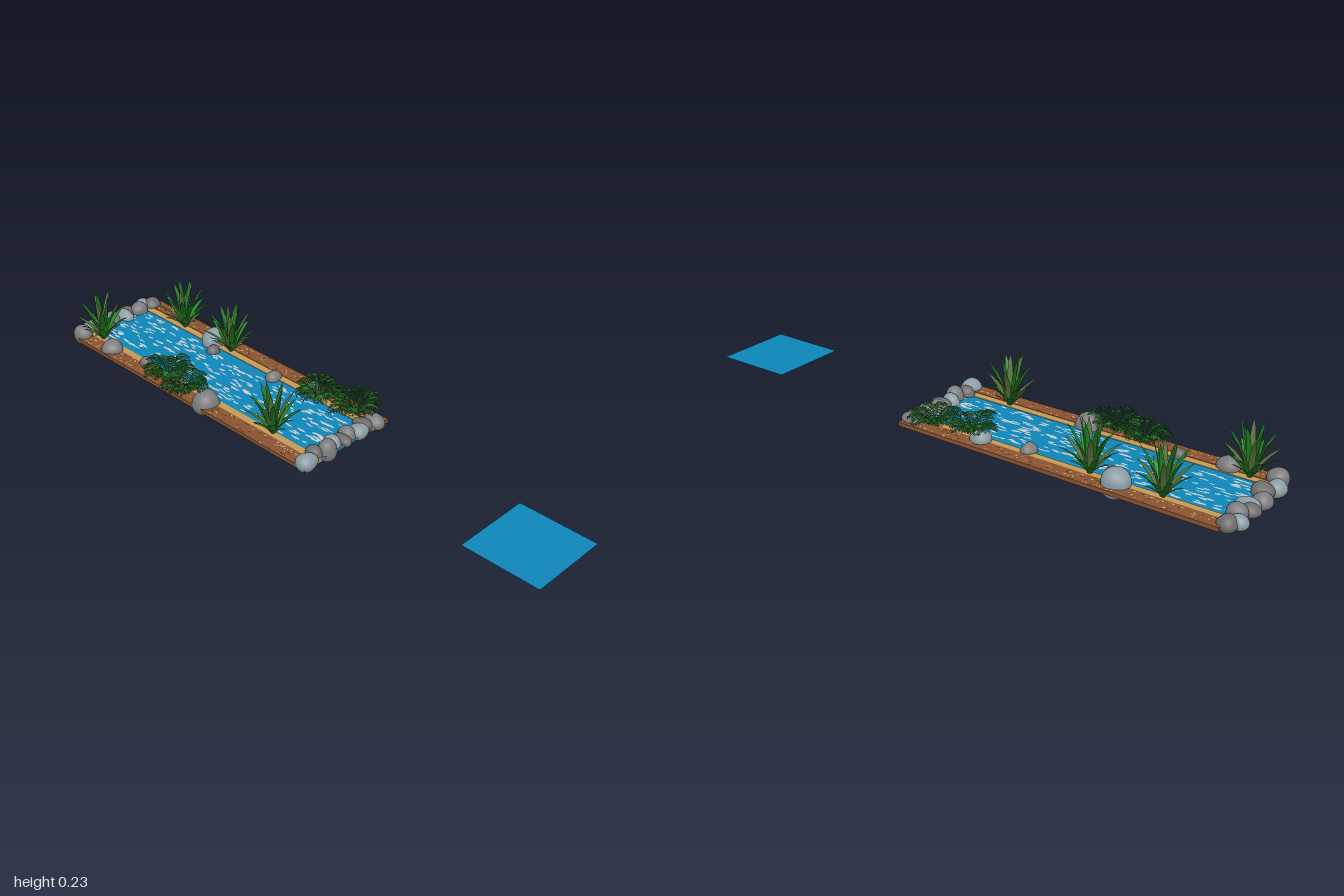
import * as THREE from 'three';
import { mergeVertices } from 'three/addons/utils/BufferGeometryUtils.js';

const V = (x, y, z) => new THREE.Vector3(x, y, z);
const UP = V(0, 1, 0);

// small seeded random
let seed = 7;
const rand = (a = 0, b = 1) => {
  seed = (seed * 16807) % 2147483647;
  return a + (b - a) * (seed / 2147483647);
};

const mat = (color, side = THREE.FrontSide) => new THREE.MeshStandardMaterial({ color, side });
const rockMats = [0x7d7d7d, 0x8c9ea5, 0x6f6d6d].map(c => mat(c));
const leafMats = [0x1f8a1f, 0x1b6b1b, 0x55703a].map(c => mat(c, THREE.DoubleSide));
const fernMats = [0x1c5a1e, 0x2c7a28].map(c => mat(c, THREE.DoubleSide));
const blue = mat(0x0d86b8, THREE.DoubleSide);
const foam = mat(0xc9cdca, THREE.DoubleSide);

function add(parent, name, geometry, material, x = 0, y = 0, z = 0) {
  const m = new THREE.Mesh(geometry, material);
  m.name = name;
  m.position.set(x, y, z);
  parent.add(m);
}

// collects tapered strips (leaves, flecks) into one geometry
class Strips {
  constructor() { this.pos = []; this.idx = []; }
  // pts: centre line, width(t): half width, side: sideways direction, fold: raises the edges
  add(pts, width, side, fold = 0) {
    const base = this.pos.length / 3;
    pts.forEach((p, i) => {
      const half = width(i / (pts.length - 1));
      for (const s of [-1, 0, 1]) {
        const w = half * s;
        this.pos.push(p.x + side.x * w, p.y + side.y * w + Math.abs(w) * fold, p.z + side.z * w);
      }
      if (i === 0) return;
      for (const s of [0, 1]) {
        const a = base + (i - 1) * 3 + s, b = a + 3;
        this.idx.push(a, a + 1, b, a + 1, b + 1, b);
      }
    });
  }
  geometry() {
    const g = new THREE.BufferGeometry();
    g.setAttribute('position', new THREE.Float32BufferAttribute(this.pos, 3));
    g.setIndex(this.idx);
    g.computeVertexNormals();
    return g;
  }
}

// lumpy rounded stone
function rock(parent, x, y, z, rx, ry, rz, tone) {
  let g = new THREE.IcosahedronGeometry(1, 4);
  g.deleteAttribute('normal');
  g.deleteAttribute('uv');
  g = mergeVertices(g, 1e-4);
  const p = g.attributes.position, k = rand(0, 6), v = V();
  for (let i = 0; i < p.count; i++) {
    v.fromBufferAttribute(p, i);
    const bump = 0.96 + 0.07 * Math.sin(2.6 * v.x + k) + 0.06 * Math.sin(3.1 * v.y + 2 * k) + 0.06 * Math.cos(2.8 * v.z + 3 * k);
    v.multiplyScalar(bump);
    p.setXYZ(i, v.x * rx, v.y * ry, v.z * rz);
  }
  g.computeVertexNormals();
  add(parent, 'rock', g, rockMats[tone % 3], x, y, z);
}

// rosette of long blades
function spikyPlant(parent, x, z) {
  const group = new THREE.Group();
  group.name = 'spikyPlant';
  group.position.set(x, 0.055, z);
  const sets = leafMats.map(() => new Strips());
  const bladeWidth = t => 0.0005 + 0.009 * Math.sin(Math.PI * (0.12 + 0.88 * t)) ** 0.7;
  const rings = [[5, 0.03, 0.175], [7, 0.068, 0.148], [8, 0.085, 0.09], [6, 0.06, 0.05]];
  let n = 0;
  rings.forEach(([count, reach, height], r) => {
    for (let i = 0; i < count; i++) {
      const a = (i + 0.5 * (r % 2) + rand(-0.15, 0.15)) / count * Math.PI * 2;
      const dir = V(Math.cos(a), 0, Math.sin(a)), side = V(-dir.z, 0, dir.x);
      const h = height * rand(0.92, 1.02), pts = [];
      for (let j = 0; j <= 6; j++) {
        const t = j / 6;
        pts.push(dir.clone().multiplyScalar(0.006 + reach * (0.55 * t + 0.45 * t * t))
          .addScaledVector(UP, h * (1.18 * t - 0.18 * t * t)));
      }
      sets[n++ % 3].add(pts, bladeWidth, side, 0.35);
    }
  });
  sets.forEach((s, i) => add(group, 'blades', s.geometry(), leafMats[i]));
  parent.add(group);
}

// clump of feathery arching fronds
function fern(parent, x, z, radius) {
  const sets = fernMats.map(() => new Strips());
  const fronds = 15;
  for (let f = 0; f < fronds; f++) {
    const a = (f + rand(-0.3, 0.3)) / fronds * Math.PI * 2;
    const dir = V(Math.cos(a), 0, Math.sin(a)), side = V(-dir.z, 0, dir.x);
    const reach = radius * rand(0.75, 1.08), rise = rand(0.035, 0.06), set = sets[f % 3 ? 0 : 1];
    const at = t => dir.clone().multiplyScalar(reach * t).addScaledVector(UP, rise * (3 * t - 2.4 * t * t));
    set.add([0, 0.25, 0.5, 0.75, 1].map(at), t => 0.001 - 0.0007 * t, side);
    for (let j = 2; j < 17; j++) {
      const t = j / 17, leaf = 0.034 * Math.sin(Math.PI * (0.2 + 0.75 * t));
      for (const s of [-1, 1]) {
        const out = side.clone().multiplyScalar(s).addScaledVector(dir, 0.75).normalize();
        const p = at(t), across = V(-out.z, 0, out.x);
        const mid = p.clone().addScaledVector(out, leaf * 0.5).addScaledVector(UP, 0.002);
        const tip = p.clone().addScaledVector(out, leaf).addScaledVector(UP, -0.004);
        set.add([p, mid, tip], u => 0.0003 + 0.0021 * Math.sin(Math.PI * u), across);
      }
    }
  }
  sets.forEach((s, i) => add(parent, 'fern', s.geometry(), fernMats[i], x, 0.058, z));
}

// flat irregular flecks scattered over a strip
function flecks(parent, name, material, count, cx, half, z0, z1, y, width, length) {
  const s = new Strips();
  for (let i = 0; i < count; i++) {
    const x = cx + rand(-half, half), z = rand(z0, z1 - length);
    const w = width * rand(0.5, 1), l = length * rand(0.4, 1);
    const pts = [0, 0.3, 0.7, 1].map(t => V(x + rand(-w, w) * 0.5, y, z + l * t));
    s.add(pts, t => w * (0.2 + 0.7 * Math.sin(Math.PI * t)), V(-1, 0, 0));
  }
  add(parent, name, s.geometry(), material);
}

export function createModel() {
  seed = 7;
  const model = new THREE.Group();
  model.name = 'gardenStream';
  const cx = 0.01, z0 = -0.94, z1 = 0.17, len = z1 - z0, cz = (z0 + z1) / 2;

  // soil and sand banks, mirrored about the channel
  const soil = mat(0x8a5431), sand = mat(0xc79a55);
  const speck = mat(0xd9b877, THREE.DoubleSide), pebble = mat(0x5f3820, THREE.DoubleSide);
  for (const s of [-1, 1]) {
    const bank = cx + s * 0.164;
    add(model, 'soilBank', new THREE.BoxGeometry(0.052, 0.013, len), soil, bank, 0.047, cz);
    add(model, 'sandStrip', new THREE.BoxGeometry(0.026, 0.009, len), sand, cx + s * 0.125, 0.0475, cz);
    flecks(model, 'sandSpecks', speck, 90, bank, 0.022, z0, z1, 0.0542, 0.0035, 0.009);
    flecks(model, 'soilSpecks', pebble, 70, bank, 0.022, z0, z1, 0.0539, 0.005, 0.014);
  }

  // water with pale ripples, pale bed underneath
  const waterGeo = new THREE.PlaneGeometry(0.236, len).rotateX(-Math.PI / 2);
  add(model, 'water', waterGeo, blue, cx, 0.05, cz);
  add(model, 'streamBed', waterGeo, foam, cx, 0.0475, cz);
  flecks(model, 'ripples', foam, 260, cx, 0.1, z0, z1, 0.0508, 0.0055, 0.042);
  flecks(model, 'bedRipples', blue, 160, cx, 0.1, z0, z1, 0.0468, 0.0055, 0.042);

  // separate square of water in front
  add(model, 'waterTile', new THREE.PlaneGeometry(0.272, 0.27).rotateX(-Math.PI / 2), blue, 0.008, 0.05, 0.865);

  const rocks = new THREE.Group();
  rocks.name = 'rocks';
  model.add(rocks);
  // rows of stones across both ends: x and radius, staggered in depth
  const frontRow = [[-0.148, 0.036], [-0.1, 0.027], [-0.058, 0.036], [-0.02, 0.028], [0.013, 0.023],
    [0.045, 0.03], [0.085, 0.031], [0.12, 0.028], [0.157, 0.033]];
  const backRow = [[-0.148, 0.035], [-0.1, 0.03], [-0.055, 0.032], [-0.01, 0.029], [0.035, 0.028],
    [0.062, 0.024], [0.095, 0.032], [0.137, 0.025], [0.162, 0.029]];
  frontRow.forEach(([x, r], i) => rock(rocks, x, 0.053, 0.132 + 0.015 * (i % 2 ? 0 : 1), r, r * 0.95, 0.034, i + 1));
  backRow.forEach(([x, r], i) => rock(rocks, x, 0.053, -0.945 - 0.02 * (i % 2), r, r, 0.035, i));
  // single stones along the banks: x, z, radius
  [[-0.143, -0.795, 0.037], [0.14, -0.59, 0.049], [-0.12, -0.645, 0.024], [-0.14, -0.317, 0.048],
    [0.145, -0.11, 0.035], [0.095, -0.54, 0.023], [0.12, -0.27, 0.027]]
    .forEach(([x, z, r], i) => rock(rocks, x, 0.053, z, r, r, r, i));

  // planting
  [[-0.116, -0.875], [0.137, -0.735], [0.137, -0.495], [-0.112, -0.035]].forEach(p => spikyPlant(model, ...p));
  [[-0.125, -0.52, 0.085], [-0.15, -0.41, 0.095], [0.13, -0.07, 0.085], [0.155, 0.065, 0.095]]
    .forEach(f => fern(model, ...f));
  return model;
}
